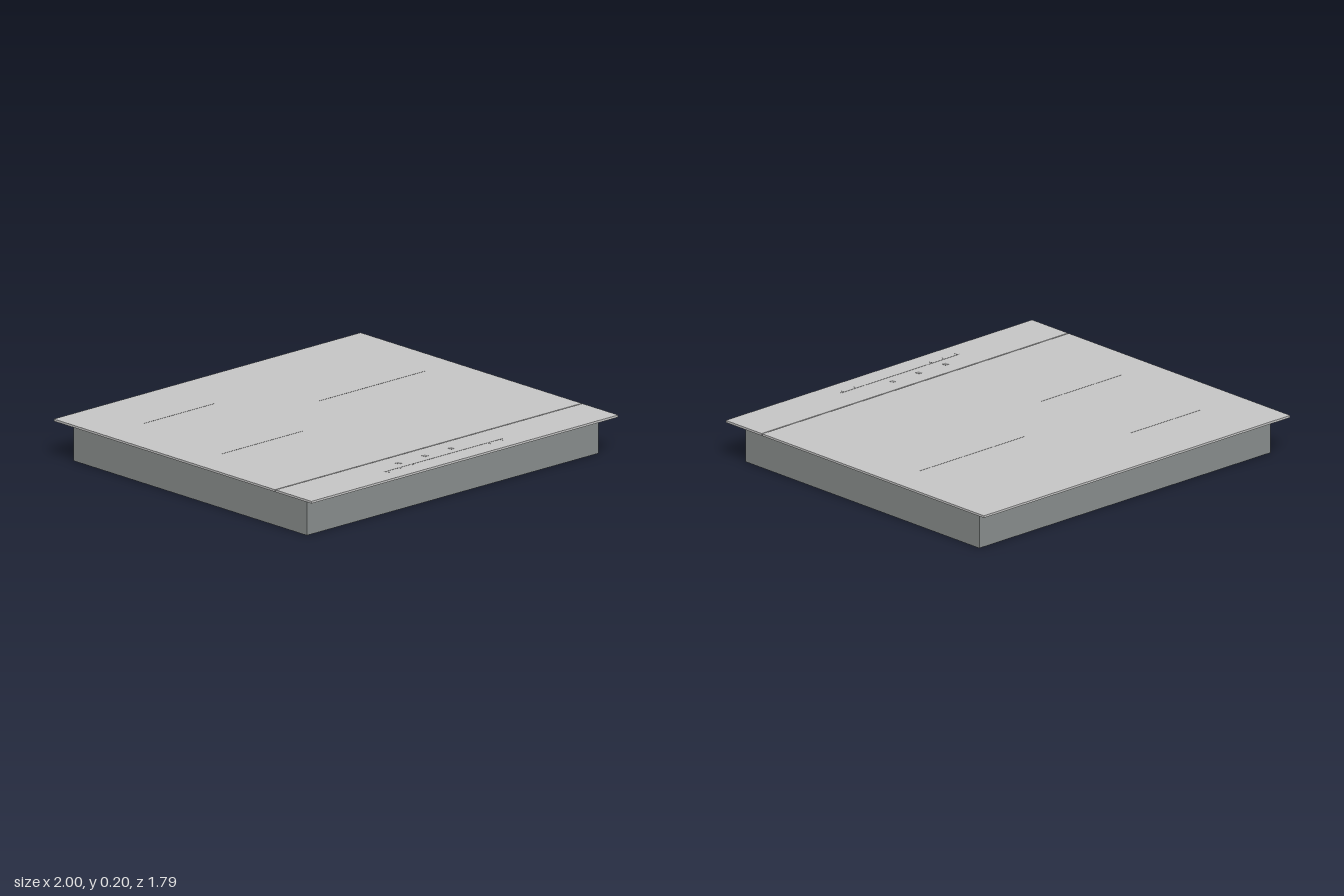
import * as THREE from 'three';

export function createModel() {
  const group = new THREE.Group();
  group.name = 'cooktop';

  const plateMat = new THREE.MeshStandardMaterial({ color: 0xc8c8c8 });
  plateMat.name = 'light grey glass';
  const bodyMat = new THREE.MeshStandardMaterial({ color: 0x8c9190 });
  bodyMat.name = 'grey metal';
  const markMat = new THREE.MeshStandardMaterial({ color: 0x8e8e8e });
  markMat.name = 'grey marking';

  // Box given by its lowest and highest coordinates on each axis
  function box(name, mat, x0, x1, y0, y1, z0, z1) {
    const mesh = new THREE.Mesh(new THREE.BoxGeometry(x1 - x0, y1 - y0, z1 - z0), mat);
    mesh.position.set((x0 + x1) / 2, (y0 + y1) / 2, (z0 + z1) / 2);
    mesh.name = name;
    group.add(mesh);
  }

  const top = 0.2, under = 0.189, depth = 0.895;

  // Housing below the worktop
  box('housing', bodyMat, -0.95, 0.95, 0, under, -0.81, 0.81);

  // Glass in two panels with a narrow gap between them
  box('cookingPanel', plateMat, -1, 1, under, top, -depth, 0.641);
  box('controlPanel', plateMat, -1, 1, under, top, 0.647, depth);

  // Thin painted mark lying on the glass
  const mark = (name, x, z, w, d) =>
    box(name, markMat, x - w / 2, x + w / 2, top - 0.001, top + 0.0008, z - d / 2, z + d / 2);

  // Centre lines of the three cooking zones: x, z, width
  for (const [x, z, w] of [[-0.51, -0.55, 0.46], [-0.53, 0.055, 0.53], [0.46, -0.24, 0.69]]) {
    mark('zoneLine', x, z, w, 0.002);
  }

  // Touch keys, slider line and its ticks
  for (const x of [-0.285, -0.112, 0.06]) mark('touchKey', x, 0.737, 0.023, 0.026);
  mark('sliderLine', -0.043, 0.791, 0.776, 0.005);
  for (const x of [-0.416, -0.332, -0.25, 0.245, 0.326]) mark('sliderTick', x, 0.803, 0.004, 0.018);

  return group;
}
